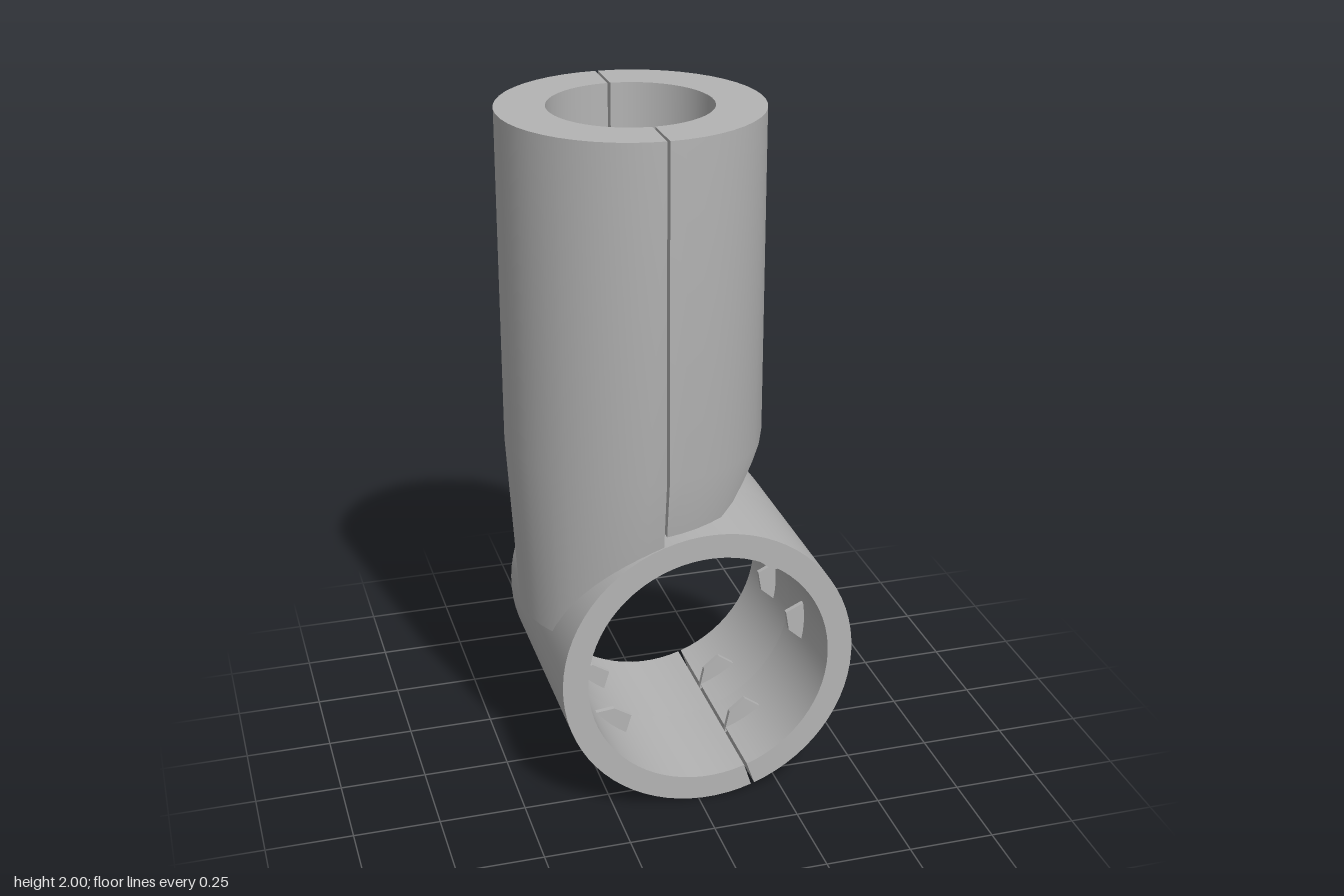
import * as THREE from 'three';
import { toCreasedNormals } from 'three/addons/utils/BufferGeometryUtils.js';

const RING = { x: 0.03, y: 0.43, outer: 0.43, inner: 0.357, half: 0.342 };
// wallMax and boreMax are the flat limits of the neck on its right side
const TUBE = { x: -0.1, outer: 0.367, wall: 0.26, inner: 0.228, top: 2, wallMax: 0.13, boreMax: 0.1 };

// Skin a row of equal-length cross-sections, optionally closing each loop and both ends
function loft(sections, closed, capped) {
  const p = [];
  const tri = (a, b, c) => p.push(...a, ...b, ...c);
  const n = sections[0].length;
  for (let i = 0; i < sections.length - 1; i++) {
    const s = sections[i], t = sections[i + 1];
    for (let j = 0; j < (closed ? n : n - 1); j++) {
      const k = (j + 1) % n;
      tri(s[j], t[j], t[k]);
      tri(s[j], t[k], s[k]);
    }
  }
  if (capped) {
    const a = sections[0], b = sections[sections.length - 1];
    for (let j = 0; j < n - 2; j++) {
      tri(a[n - 1], a[j], a[j + 1]);
      tri(b[n - 1], b[j + 1], b[j]);
    }
  }
  const g = new THREE.BufferGeometry();
  g.setAttribute('position', new THREE.Float32BufferAttribute(p, 3));
  return toCreasedNormals(g, 0.55);
}

// Height of the ring's surface of radius r above a given x
const ringTop = (x, r) => RING.y + Math.sqrt(Math.max(0.004, r * r - (x - RING.x) ** 2));

// One half of the split upright tube, fitted to the ring below
function tubeHalf(side) {
  const sections = [], n = 24, gap = 0.004;
  // Sloping underside on the right, resting on a nearly level step
  const slope = (x) => (side > 0 ? Math.max(0.87 + 0.1 * (x - TUBE.x), 0.9 + 1.33 * (x - 0.11)) : 0);
  for (let i = 0; i <= n; i++) {
    const u = -1 + (2 * i) / n;
    const at = (r, y, limit = 1) => {
      const a = u * (Math.PI / 2 - gap / r);
      return [Math.min(limit, TUBE.x + side * r * Math.cos(a)), y, side * r * Math.sin(a)];
    };
    const xo = at(TUBE.outer, 0)[0];
    const xw = at(TUBE.wall, 0, TUBE.wallMax)[0];
    const xi = at(TUBE.inner, 0, TUBE.boreMax)[0];
    const bottom = Math.max(0.53, ringTop(xo, RING.outer) - 0.01, slope(xo));
    const start = Math.max(1.05, bottom + 0.005);
    const low = TUBE.outer - 0.03 * Math.min(1, Math.max(0, (1.05 - bottom) / 0.2));
    const join = ringTop(xw, RING.outer) - 0.02;
    sections.push([
      at(TUBE.outer, TUBE.top), at(TUBE.outer, start), at(low, bottom),
      at(TUBE.wall, Math.max(join, slope(xw)), TUBE.wallMax), at(TUBE.wall, join, TUBE.wallMax),
      at(TUBE.inner, ringTop(xi, RING.inner), TUBE.boreMax),
      at(TUBE.inner, 1.15), at(TUBE.inner, TUBE.top),
    ]);
  }
  return loft(sections, true, true);
}

// Front or back half of the split ring, leaving the bore of the tube open
function ringHalf(side) {
  const sections = [], n = 72, split = -1.25, gap = 0.012;
  for (let i = 0; i <= n; i++) {
    const a = split + gap + ((2 * Math.PI - 2 * gap) * i) / n;
    const at = (r, z) => [RING.x + r * Math.cos(a), RING.y + r * Math.sin(a), side * z];
    const hole = (r, bore, limit) => {
      const x = at(r, 0)[0];
      if (Math.sin(a) < 0.05 || x > limit) return 0;
      return Math.sqrt(Math.max(0, bore * bore - (x - TUBE.x) ** 2));
    };
    const s = [
      at(RING.inner, hole(RING.inner, TUBE.inner, TUBE.boreMax)), at(RING.inner, RING.half),
      at(RING.outer, RING.half), at(RING.outer, hole(RING.outer, 0.245, 0.12)),
    ];
    sections.push(side > 0 ? s : s.reverse());
  }
  return loft(sections, false, true);
}

export function createModel() {
  const group = new THREE.Group();
  const grey = new THREE.MeshStandardMaterial({ color: 0xb4b4b4, side: THREE.DoubleSide });
  grey.name = 'plain grey';
  const add = (name, geometry) => {
    const mesh = new THREE.Mesh(geometry, grey);
    mesh.name = name;
    group.add(mesh);
    return mesh;
  };

  add('tubeRightHalf', tubeHalf(-1));
  add('tubeLeftHalf', tubeHalf(1));
  add('ringFront', ringHalf(1));
  add('ringBack', ringHalf(-1));

  // Thin gripping teeth inside the ring
  const tooth = new THREE.Shape();
  tooth.moveTo(0.365, -0.08);
  tooth.lineTo(0.365, 0.06);
  tooth.lineTo(0.3, 0.03);
  tooth.lineTo(0.31, -0.03);
  const toothGeometry = new THREE.ExtrudeGeometry(tooth, { depth: 0.015, bevelEnabled: false });
  for (const angle of [0.72, 0, -1.05, -2.3]) {
    for (const z of [-0.13, 0.13]) {
      const mesh = add('gripTooth', toothGeometry);
      mesh.position.set(RING.x, RING.y, z - 0.0075);
      mesh.rotation.z = angle;
    }
  }
  return group;
}
